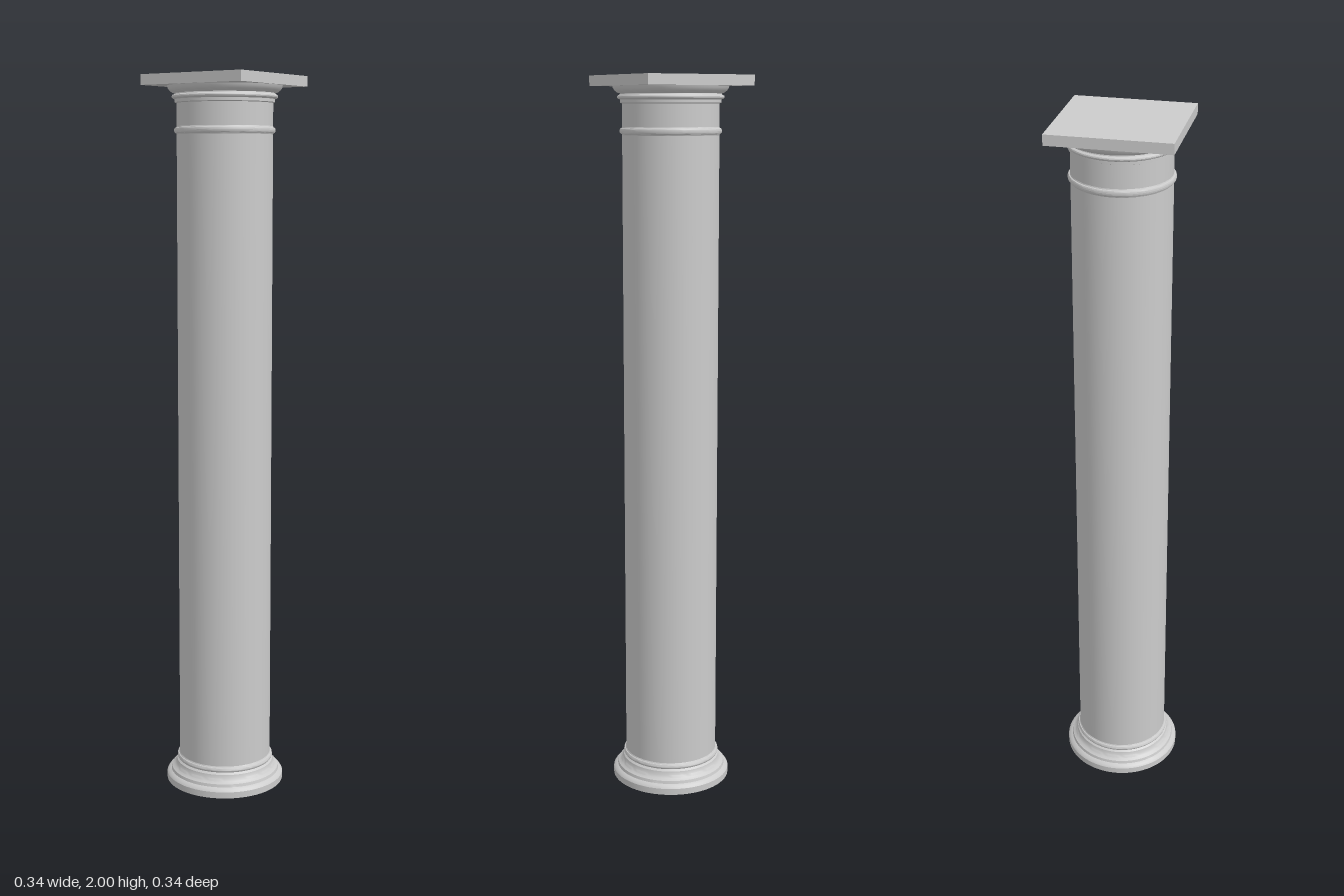
import * as THREE from 'three';
import { toCreasedNormals } from 'three/addons/utils/BufferGeometryUtils.js';

const material = new THREE.MeshStandardMaterial({ color: 0xcccccc });
const SHAFT_R = 0.131;

// Turned part from [radius, height] pairs, listed bottom to top
function turned(name, profile) {
  const points = profile.map(([r, y]) => new THREE.Vector2(r, y));
  const geometry = toCreasedNormals(new THREE.LatheGeometry(points, 64), Math.PI / 6);
  const mesh = new THREE.Mesh(geometry, material);
  mesh.name = name;
  return mesh;
}

// Half-round bead profile bulging out from radius r
function bead(r, y, height, bulge, steps = 6) {
  return Array.from({ length: steps + 1 }, (_, i) => {
    const a = (i / steps - 0.5) * Math.PI;
    return [r + bulge * Math.cos(a), y + (height / 2) * Math.sin(a)];
  });
}

export function createModel() {
  const column = new THREE.Group();
  column.name = 'column';

  // Round base: plinth disc, rounded shoulder, hollow and upper bead
  column.add(turned('base', [
    [0, 0], [0.168, 0], [0.168, 0.018], [0.164, 0.024], [0.156, 0.028],
    [0.154, 0.036], [0.146, 0.041], [0.141, 0.048], [0.139, 0.058], [0.134, 0.062],
    ...bead(0.133, 0.07, 0.014, 0.005),
    [SHAFT_R, 0.08],
  ]));

  // Plain straight shaft
  column.add(turned('shaft', [[SHAFT_R, 0.078], [SHAFT_R, 1.932]]));

  // Ring below the neck
  column.add(turned('neckRing', [
    [SHAFT_R, 1.843], ...bead(0.132, 1.854, 0.016, 0.006), [SHAFT_R, 1.865],
  ]));

  // Capital: fillets below a flaring echinus
  column.add(turned('capital', [
    [SHAFT_R, 1.926], [0.136, 1.928], [0.136, 1.936],
    ...bead(0.137, 1.943, 0.012, 0.007),
    [0.136, 1.952], [0.143, 1.954], [0.15, 1.959], [0.155, 1.966], [0.157, 1.974], [0, 1.974],
  ]));

  // Square slab on top
  const abacus = new THREE.Mesh(new THREE.BoxGeometry(0.323, 0.028, 0.323), material);
  abacus.name = 'abacus';
  abacus.position.y = 1.986;
  column.add(abacus);

  return column;
}
